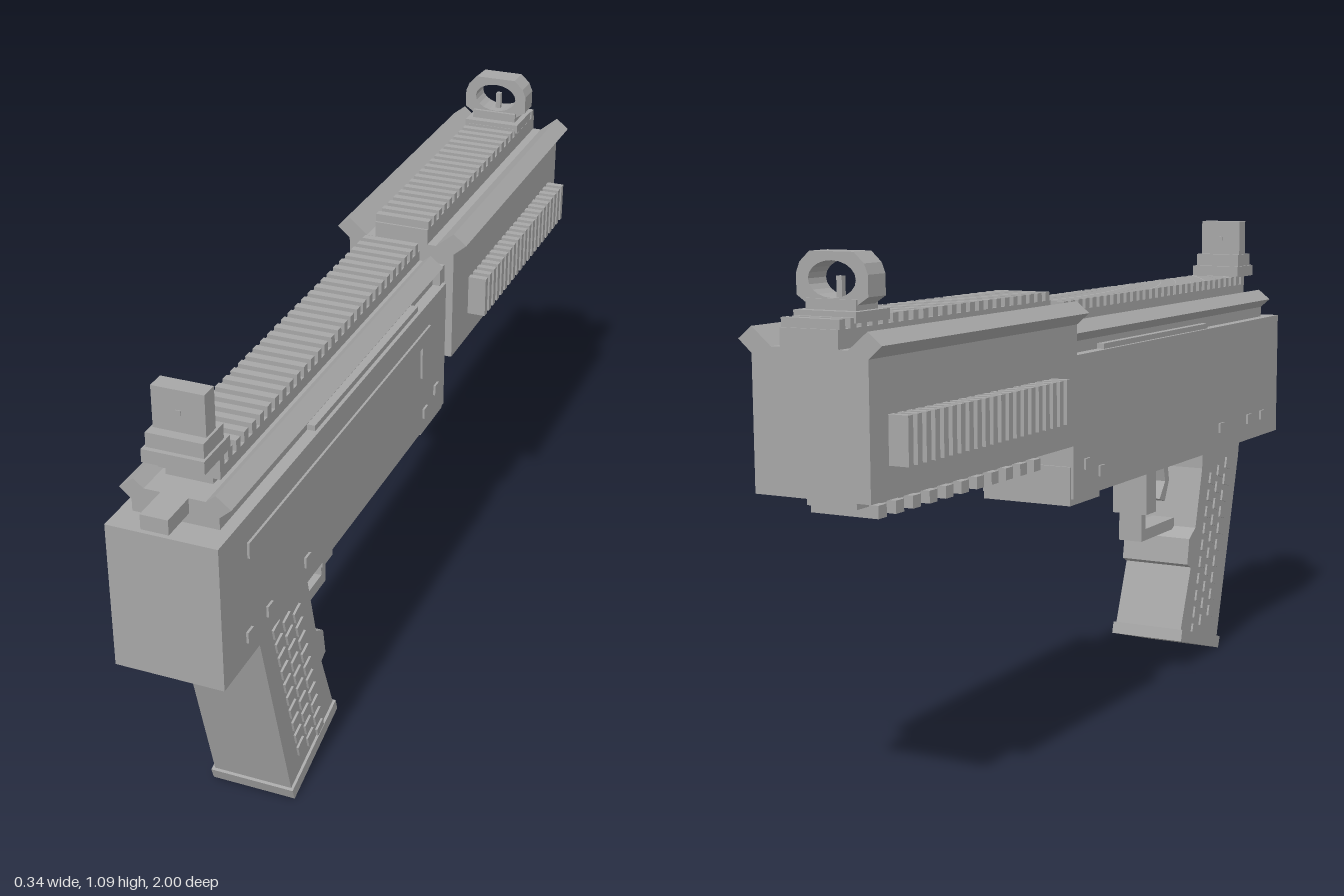
import * as THREE from 'three';

export function createModel() {
  const model = new THREE.Group();
  model.name = 'boxyCarbine';
  const grey = new THREE.MeshStandardMaterial({ color: 0xa6a6a6, flatShading: true });
  grey.name = 'plain grey';

  const add = (name, geometry, parent = model) => {
    const mesh = new THREE.Mesh(geometry, grey);
    mesh.name = name;
    parent.add(mesh);
    return mesh;
  };
  const group = (name) => {
    const g = new THREE.Group();
    g.name = name;
    model.add(g);
    return g;
  };
  // Box given by its limits on each axis
  const box = (name, x0, x1, y0, y1, z0, z1, parent) => {
    const g = new THREE.BoxGeometry(x1 - x0, y1 - y0, z1 - z0);
    g.translate((x0 + x1) / 2, (y0 + y1) / 2, (z0 + z1) / 2);
    return add(name, g, parent);
  };
  const shapeOf = (pts) => new THREE.Shape(pts.map(([a, b]) => new THREE.Vector2(a, b)));
  // Side profile of [z, y] points, extruded across x
  const sideProfile = (name, pts, x0, x1, parent) => {
    const g = new THREE.ExtrudeGeometry(shapeOf(pts), { depth: x1 - x0, bevelEnabled: false });
    g.rotateY(-Math.PI / 2).translate(x1, 0, 0);
    return add(name, g, parent);
  };
  // Right half of a cross-section of [x, y] points, mirrored and extruded along z
  const crossSection = (name, half, z0, z1, parent, hole) => {
    const mirrored = half.filter((p) => p[0] > 0).reverse().map(([x, y]) => [-x, y]);
    const shape = shapeOf([...half, ...mirrored]);
    if (hole) shape.holes.push(hole);
    const g = new THREE.ExtrudeGeometry(shape, { depth: z1 - z0, bevelEnabled: false, curveSegments: 10 });
    g.translate(0, 0, z0);
    return add(name, g, parent);
  };
  // Row of equal ribs along z
  const ribs = (name, count, zStart, zEnd, width, x0, x1, y0, y1, parent) => {
    for (let i = 0; i < count; i++) {
      const z = zStart + ((zEnd - zStart - width) * i) / (count - 1);
      box(name, x0, x1, y0, y1, z, z + width, parent);
    }
  };

  // Receiver
  const receiver = group('receiver');
  box('receiverBody', -0.113, 0.113, 0.53, 0.84, -0.2, 0.98, receiver);
  box('magazineBlock', -0.107, 0.107, 0.515, 0.6, -0.205, -0.065, receiver);
  box('upperTrim', -0.105, 0.105, 0.84, 0.852, -0.04, 0.53, receiver);
  crossSection('upperReceiver', [[0.088, 0.835], [0.088, 0.865], [0.112, 0.886], [0.082, 0.91],
    [0.062, 0.893]], -0.18, 0.92, receiver);
  box('neck', -0.105, 0.105, 0.66, 0.88, -0.22, -0.18, receiver);
  box('chargingHandle', -0.028, 0.028, 0.862, 0.893, 0.9, 1, receiver);
  sideProfile('boltTrack', [[0.865, 0.752], [-0.04, 0.752], [-0.04, 0.675], [-0.092, 0.675],
    [-0.092, 0.785], [0.865, 0.785]], 0.11, 0.118, receiver);
  for (const s of [-1, 1]) {
    for (const [z, y] of [[0.87, 0.585], [0.78, 0.585], [0.6, 0.585], [-0.07, 0.575], [-0.14, 0.6]]) {
      const x = s * 0.115;
      box('pin', x - 0.003, x + 0.003, y - 0.012, y + 0.012, z - 0.012, z + 0.012, receiver);
    }
  }

  // Top rail on the receiver
  const rearRail = group('receiverRail');
  box('railBase', -0.048, 0.048, 0.885, 0.928, -0.16, 0.86, rearRail);
  box('railBed', -0.063, 0.063, 0.905, 0.928, -0.16, 0.86, rearRail);
  ribs('railTooth', 30, -0.15, 0.86, 0.018, -0.063, 0.063, 0.926, 0.95, rearRail);

  // Forend with upswept edges
  const forend = group('forend');
  crossSection('forendBody', [[0.126, 0.65], [0.126, 0.908], [0.155, 0.933], [0.125, 0.957],
    [0.083, 0.922]], -1, -0.21, forend);
  box('railBed', -0.063, 0.063, 0.92, 0.957, -1, -0.21, forend);
  ribs('railTooth', 23, -0.995, -0.215, 0.018, -0.063, 0.063, 0.955, 0.975, forend);
  // Ribbed side grips
  for (const s of [-1, 1]) {
    const side = (a, b) => (s > 0 ? [a, b] : [-b, -a]);
    box('sideGripPlate', ...side(0.12, 0.148), 0.725, 0.795, -0.935, -0.33, forend);
    ribs('sideGripRib', 21, -0.94, -0.32, 0.016, ...side(0.12, 0.168), 0.712, 0.805, forend);
  }
  // Lower rail
  box('lowerRailBase', -0.055, 0.055, 0.625, 0.655, -0.94, -0.26, forend);
  ribs('lowerRailTooth', 11, -0.9, -0.28, 0.028, -0.075, 0.075, 0.603, 0.628, forend);

  // Pistol grip
  const grip = group('pistolGrip');
  sideProfile('gripBody', [[0.783, 0.535], [0.775, 0.487], [0.648, 0.03], [0.42, 0.095],
    [0.479, 0.246], [0.457, 0.257], [0.468, 0.32], [0.505, 0.342], [0.543, 0.487], [0.543, 0.535]],
    -0.089, 0.089, grip);
  sideProfile('gripCap', [[0.655, 0.03], [0.645, 0.002], [0.41, 0.072], [0.418, 0.1]], -0.095, 0.095, grip);
  // Raised grip studs in slanted columns
  const slant = Math.atan2(0.128, 0.46);
  for (const s of [-1, 1]) {
    for (let row = 0; row < 10; row++) {
      for (let col = 0; col < 3; col++) {
        const stud = add('gripStud', new THREE.BoxGeometry(0.012, 0.027, 0.032), grip);
        const y = 0.465 - row * 0.041;
        stud.position.set(s * 0.088, y - (1 - col) * -0.013, 0.652 + (1 - col) * 0.05 - (0.465 - y) * 0.278);
        stud.rotation.x = slant;
      }
    }
  }

  // Trigger and guard
  const trigger = group('triggerGroup');
  sideProfile('trigger', [[0.478, 0.535], [0.452, 0.535], [0.472, 0.46], [0.44, 0.42],
    [0.47, 0.41], [0.495, 0.46]], -0.02, 0.02, trigger);
  box('guardBottom', -0.03, 0.03, 0.335, 0.363, 0.315, 0.505, trigger);
  box('guardFront', -0.03, 0.03, 0.335, 0.41, 0.315, 0.338, trigger);
  box('guardMount', -0.045, 0.045, 0.403, 0.535, 0.31, 0.365, trigger);

  // Rear sight
  const rearSight = group('rearSight');
  box('rearSightFoot', -0.063, 0.063, 0.948, 0.975, 0.815, 0.92, rearSight);
  box('rearSightBase', -0.058, 0.058, 0.97, 1.005, 0.83, 0.91, rearSight);
  box('rearSightBlade', -0.053, 0.053, 1.0, 1.09, 0.85, 0.888, rearSight);
  box('rearSightPeep', -0.005, 0.005, 1.04, 1.05, 0.848, 0.89, rearSight);

  // Front sight: hooded ring with a post
  const frontSight = group('frontSight');
  box('frontSightFoot', -0.068, 0.068, 0.965, 0.985, -0.95, -0.84, frontSight);
  box('frontSightBase', -0.055, 0.055, 0.98, 1.005, -0.93, -0.86, frontSight);
  const hole = new THREE.Path();
  hole.absellipse(0, 1.04, 0.052, 0.034, 0, Math.PI * 2, true);
  crossSection('frontSightHood', [[0.055, 0.995], [0.078, 1.01], [0.078, 1.05], [0.07, 1.07],
    [0.048, 1.09]], -0.925, -0.868, frontSight, hole);
  box('frontSightPost', -0.006, 0.006, 1.0, 1.045, -0.902, -0.89, frontSight);

  return model;
}
